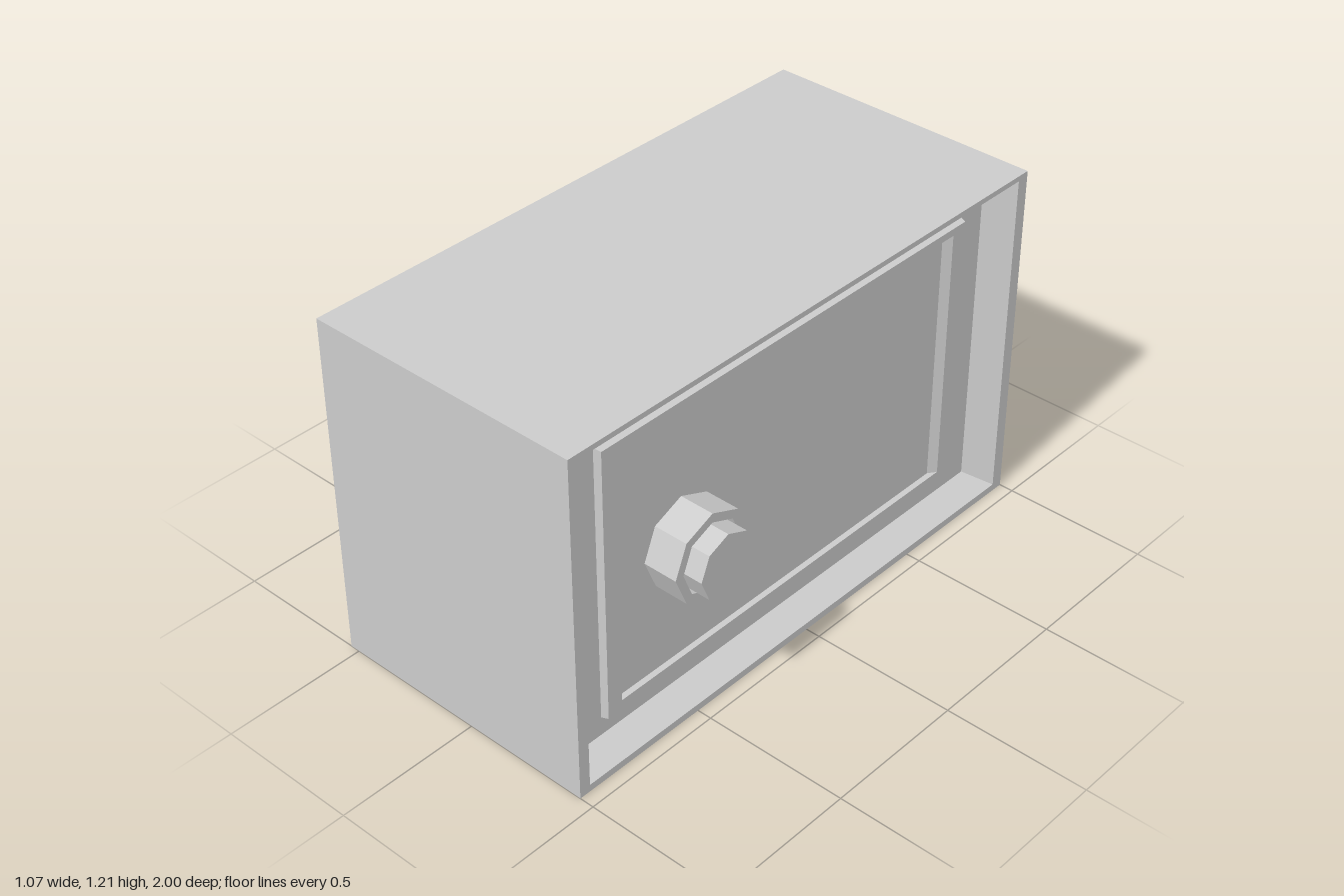
import * as THREE from 'three';

const material = new THREE.MeshStandardMaterial({ color: 0xcccccc, flatShading: true });

// Closed solid through rectangular rings [x, zMin, zMax, yMin, yMax], listed from back to front
function rectLoft(name, rings) {
  const positions = [];
  const index = [];
  rings.forEach(([x, z0, z1, y0, y1], r) => {
    positions.push(x, y0, z0, x, y1, z0, x, y1, z1, x, y0, z1);
    if (r === 0) return;
    for (let i = 0; i < 4; i++) {
      const j = (i + 1) % 4;
      const a = (r - 1) * 4, b = r * 4;
      index.push(a + i, a + j, b + j, a + i, b + j, b + i);
    }
  });
  const e = (rings.length - 1) * 4;
  index.push(0, 2, 1, 0, 3, 2, e, e + 1, e + 2, e, e + 2, e + 3);
  const indexed = new THREE.BufferGeometry();
  indexed.setAttribute('position', new THREE.Float32BufferAttribute(positions, 3));
  indexed.setIndex(index);
  const geometry = indexed.toNonIndexed();
  geometry.computeVertexNormals();
  const mesh = new THREE.Mesh(geometry, material);
  mesh.name = name;
  return mesh;
}

// Eight-sided turned part whose axis points along +x; profile is [radius, x]
function octagonTurned(name, profile) {
  const points = profile.map(([r, x]) => new THREE.Vector2(r, x));
  const geometry = new THREE.LatheGeometry(points, 8).toNonIndexed();
  geometry.computeVertexNormals();
  geometry.rotateZ(-Math.PI / 2);
  const mesh = new THREE.Mesh(geometry, material);
  mesh.name = name;
  return mesh;
}

export function createModel() {
  const model = new THREE.Group();
  model.name = 'safe';

  // Box with a sloped recess around the door
  model.add(rectLoft('body', [
    [-0.535, -1, 1, 0, 1.205],
    [0.45, -1, 1, 0, 1.205],
    [0.45, -0.957, 0.96, 0.025, 1.187],
    [0.35, -0.913, 0.917, 0.053, 1.155],
  ]));

  // Raised door frame with a shallow sunken panel
  model.add(rectLoft('door', [
    [0.34, -0.805, 0.81, 0.118, 1.093],
    [0.375, -0.797, 0.802, 0.125, 1.085],
    [0.375, -0.74, 0.745, 0.16, 1.06],
    [0.355, -0.712, 0.745, 0.16, 1.06],
  ]));

  // Dial: octagonal collar with a groove around the knob
  const dial = new THREE.Group();
  dial.name = 'dial';
  dial.add(octagonTurned('dialCollar', [
    [0.154, 0.345], [0.154, 0.475], [0.122, 0.475], [0.122, 0.44], [0, 0.44],
  ]));
  dial.add(octagonTurned('dialKnob', [[0.112, 0.43], [0.112, 0.535], [0, 0.535]]));
  dial.position.set(0, 0.583, 0.467);
  model.add(dial);

  return model;
}
